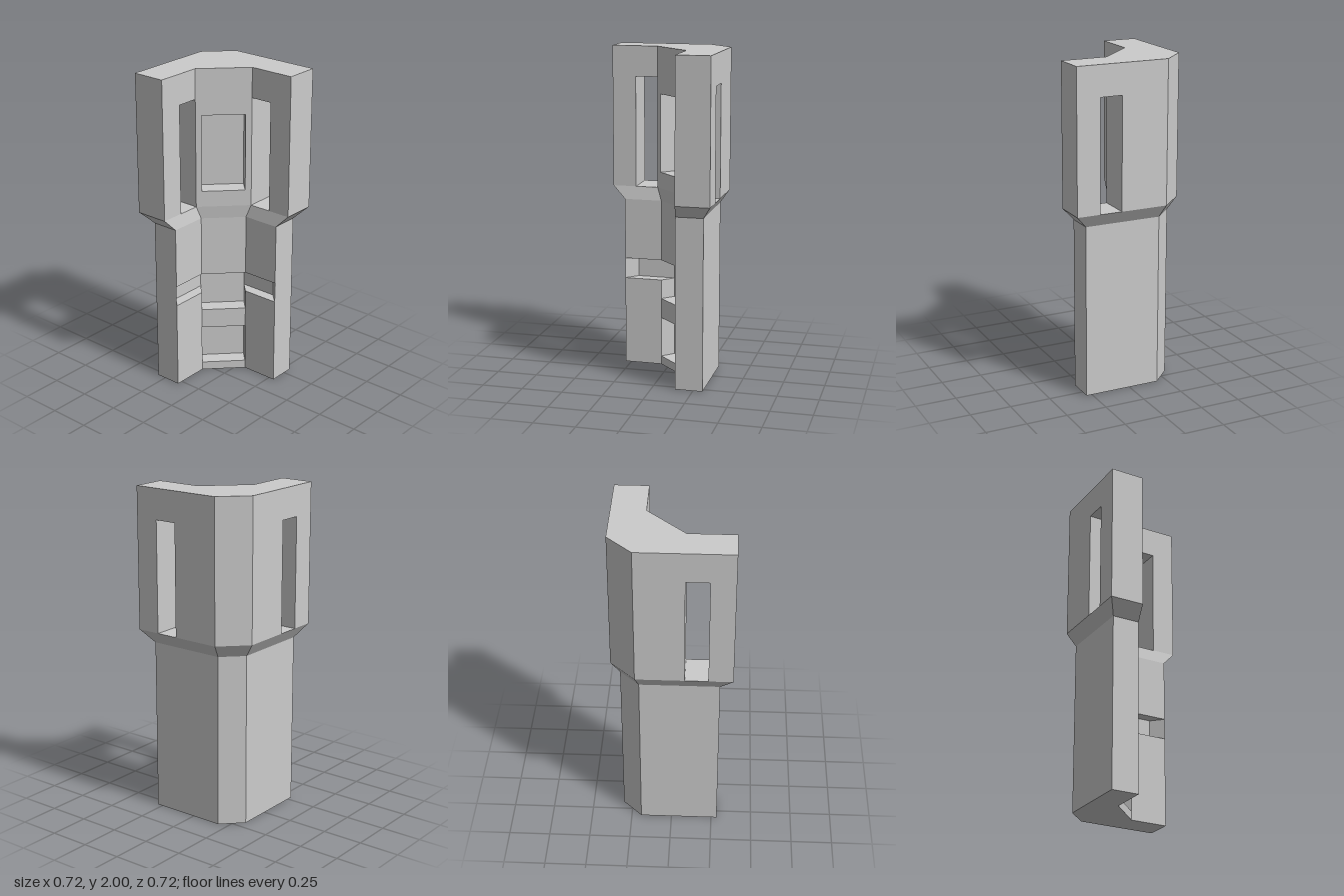
import * as THREE from 'three';

const material = new THREE.MeshStandardMaterial({ color: 0xcccccc, flatShading: true });

// Plan dimensions: outer face, chamfer start, arm end, inner face, end of the inner diagonal
const LOWER = { o: 0.308, c: 0.19, e: 0.285, n: 0.14, d: 0.053 };
const UPPER = { o: 0.362, c: 0.21, e: 0.362, n: 0.155, d: 0.08 };
const SLOT_END = 0.217;

const shift = (pts, r) => pts.map(([x, z]) => [x - r, z - r]);
const mirror = (pts) => pts.map(([x, z]) => [z, x]).reverse();

// Path pushed into the corner by r, keeping its original ends
const sunk = (pts, r) => [pts[0], ...shift(pts, r), pts[pts.length - 1]];

const diagonal = ({ n, d }) => [[-n, d], [d, -n]];
const innerPath = (p) => [[-p.n, p.e], ...diagonal(p), [p.e, -p.n]];
const outerPath = ({ o, c }, end) => [[end, -o], [-c, -o], [-o, -c], [-o, end]];

// Full angle section, with an optional replacement for the diagonal
const section = (p, mid = diagonal(p)) =>
  [...outerPath(p, p.e), [-p.n, p.e], ...mid, [p.e, -p.n]];

// Side walls between two matching closed outlines
function walls(out, a, y0, y1, b = a) {
  a.forEach(([x, z], i) => {
    const j = (i + 1) % a.length;
    const p = [x, y0, z], q = [a[j][0], y0, a[j][1]];
    const r = [b[j][0], y1, b[j][1]], s = [b[i][0], y1, b[i][1]];
    out.push(...p, ...q, ...r, ...p, ...r, ...s);
  });
}

// Horizontal face facing up or down
function flat(out, outline, y, up) {
  let pts = outline.map(([x, z]) => new THREE.Vector2(x, -z));
  if (THREE.ShapeUtils.isClockWise(pts)) pts = pts.reverse();
  for (const tri of THREE.ShapeUtils.triangulateShape(pts, [])) {
    for (const i of up ? tri : [...tri].reverse()) out.push(pts[i].x, y, -pts[i].y);
  }
}

// Floor or ceiling of a pocket cut in along the diagonal direction
const ledge = (out, path, r, y, up) => flat(out, [...path, ...shift(path, r).reverse()], y, up);

function addPart(group, name, build) {
  const positions = [];
  build(positions);
  const geometry = new THREE.BufferGeometry();
  geometry.setAttribute('position', new THREE.Float32BufferAttribute(positions, 3));
  geometry.computeVertexNormals();
  const mesh = new THREE.Mesh(geometry, material);
  mesh.name = name;
  group.add(mesh);
}

export function createModel() {
  const group = new THREE.Group();
  group.name = 'angleBracket';

  // Lower shaft with two diagonal pockets and a groove round the inside
  addPart(group, 'lowerShaft', (out) => {
    const depth = 0.068;
    const plain = section(LOWER);
    const diag = diagonal(LOWER), inner = innerPath(LOWER);
    const pocket = section(LOWER, sunk(diag, depth));
    const groove = [...outerPath(LOWER, LOWER.e), ...sunk(inner, depth)];
    flat(out, plain, 0, false);
    walls(out, plain, 0, 0.053);
    ledge(out, diag, depth, 0.053, true);
    walls(out, pocket, 0.053, 0.305);
    ledge(out, diag, depth, 0.305, false);
    walls(out, plain, 0.305, 0.43);
    ledge(out, diag, depth, 0.43, true);
    walls(out, pocket, 0.43, 0.55);
    // Groove floor lies only beside the pocket below it
    const arm = [[LOWER.d, -LOWER.n], [LOWER.e, -LOWER.n]];
    ledge(out, arm, depth, 0.55, true);
    ledge(out, mirror(arm), depth, 0.55, true);
    walls(out, groove, 0.55, 0.678);
    ledge(out, inner, depth, 0.678, false);
    walls(out, plain, 0.678, 1.055);
  });

  // Sloping shoulder between the two sections
  addPart(group, 'shoulder', (out) => walls(out, section(LOWER), 1.055, 1.135, section(UPPER)));

  // Upper corner core with one inset window pocket
  const { o, e, n, d } = UPPER;
  addPart(group, 'upperCore', (out) => {
    const inset = 0.026, depth = 0.076;
    const window = [[-n + inset, d - inset], [d - inset, -n + inset]];
    const [left, right] = diagonal(UPPER);
    const plain = [...outerPath(UPPER, d), left, right];
    const pocket = [...outerPath(UPPER, d), left, ...sunk(window, depth), right];
    walls(out, plain, 1.135, 1.235);
    ledge(out, window, depth, 1.235, true);
    walls(out, pocket, 1.235, 1.715);
    ledge(out, window, depth, 1.715, false);
    walls(out, plain, 1.715, 1.815);
  });

  // Posts beyond the through slots, with the slot sills and heads
  const post = [[e, -o], [SLOT_END, -o], [SLOT_END, -n], [e, -n]];
  const slot = [[SLOT_END, -o], [d, -o], [d, -n], [SLOT_END, -n]];
  for (const [name, side] of [['leftPost', (p) => p], ['frontPost', mirror]]) {
    addPart(group, name, (out) => {
      walls(out, side(post), 1.135, 1.815);
      flat(out, side(slot), 1.135, true);
      flat(out, side(slot), 1.815, false);
    });
  }

  // Solid head above the slots
  addPart(group, 'head', (out) => {
    walls(out, section(UPPER), 1.815, 2);
    flat(out, section(UPPER), 2, true);
  });

  return group;
}
